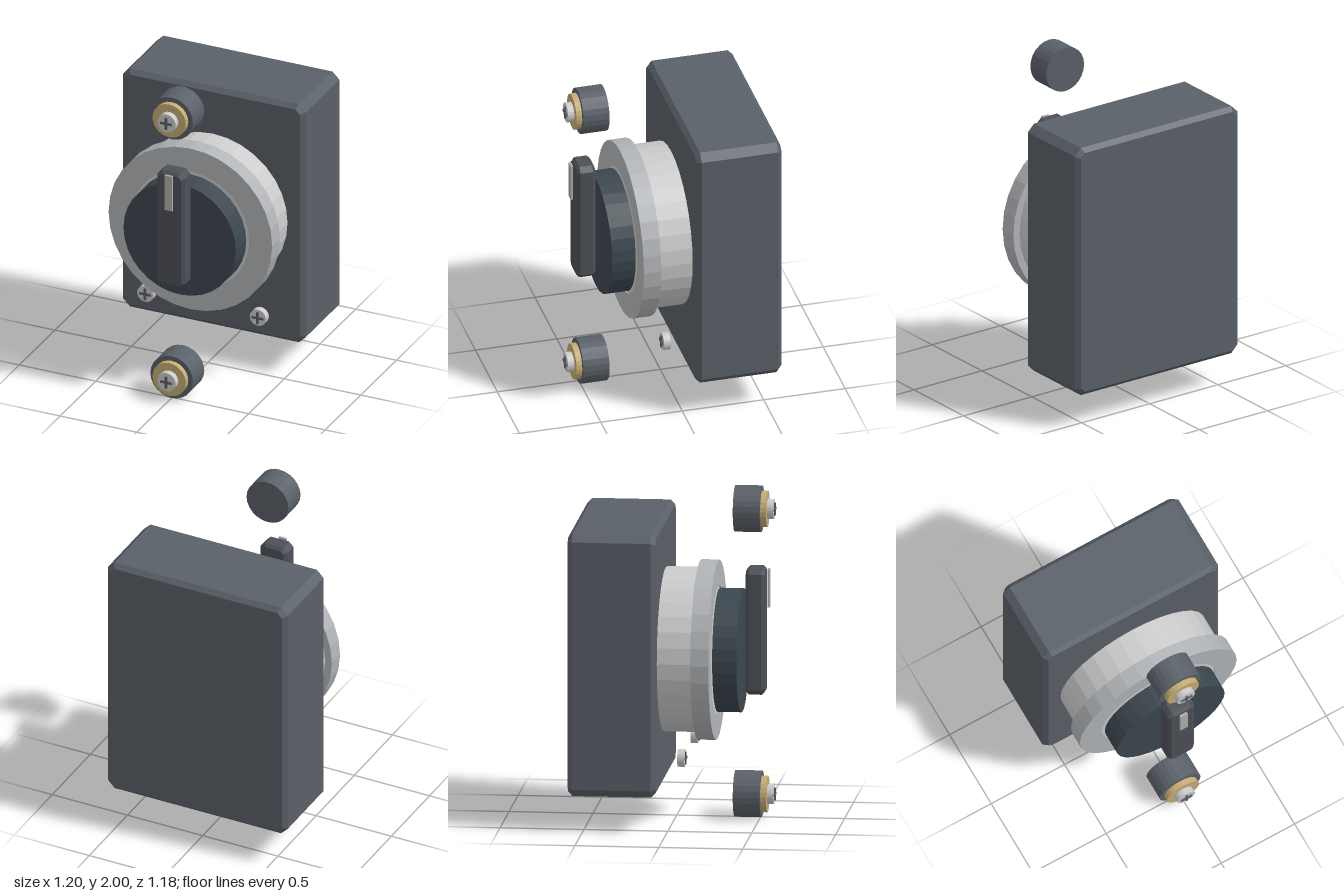
import * as THREE from 'three';

const material = (color) => new THREE.MeshStandardMaterial({ color, flatShading: true });
const BODY = material(0x5a6068), COLLAR = material(0xdcdcdc), BEZEL = material(0xb2b5b8);
const KNOB = material(0x3c474f), HANDLE = material(0x4c5057), BRASS = material(0xc6ad74);
const STEEL = material(0xcccccc), SLOT = material(0x5a5c60), MARK = material(0xb0b0ae);
const CENTRE_Y = 1.005;

function add(parent, name, geometry, mat, x = 0, y = 0, z = 0) {
  const mesh = new THREE.Mesh(geometry, mat);
  mesh.name = name;
  mesh.position.set(x, y, z);
  parent.add(mesh);
  return mesh;
}

// Cylinder along z, from z0 to z1
function disc(radius, z0, z1, sides) {
  return new THREE.CylinderGeometry(radius, radius, z1 - z0, sides)
    .rotateX(Math.PI / 2).translate(0, 0, (z0 + z1) / 2);
}

// Box from z0 to z1 with cut corners and chamfered front and back edges
function chamferedBox(w, h, z0, z1, corner, bevel) {
  const a = w / 2, b = h / 2, c = corner;
  const shape = new THREE.Shape([
    [a, -b + c], [a, b - c], [a - c, b], [-a + c, b],
    [-a, b - c], [-a, -b + c], [-a + c, -b], [a - c, -b],
  ].map(([x, y]) => new THREE.Vector2(x, y)));
  return new THREE.ExtrudeGeometry(shape, {
    depth: z1 - z0 - 2 * bevel, bevelEnabled: true, bevelSegments: 1,
    bevelSize: bevel, bevelThickness: bevel, bevelOffset: -bevel,
  }).translate(0, 0, z0 + bevel);
}

// Screw head with a raised dark cross
function screw(name, radius, z0, z1, x, y) {
  const group = new THREE.Group();
  group.name = name;
  group.position.set(x, y, 0);
  add(group, 'screwHead', disc(radius, z0, z1, 24), STEEL);
  add(group, 'crossBar', new THREE.BoxGeometry(0.076, 0.014, 0.01), SLOT, 0, 0, z1 + 0.004);
  add(group, 'crossPost', new THREE.BoxGeometry(0.014, 0.076, 0.01), SLOT, 0, 0, z1 + 0.004);
  return group;
}

export function createModel() {
  const model = new THREE.Group();
  model.name = 'rotarySwitch';

  // Housing
  add(model, 'housing', chamferedBox(1.196, 1.585, -0.59, -0.067, 0.045, 0.027), BODY, 0, CENTRE_Y);

  // Collar and the wider bezel ring around it
  add(model, 'collar', disc(0.49, -0.067, 0.137, 32), COLLAR, 0, CENTRE_Y);
  add(model, 'collarNeck', disc(0.385, 0.137, 0.237, 32), COLLAR, 0, CENTRE_Y);
  const profile = [[0.385, 0.137], [0.535, 0.137], [0.535, 0.245], [0.385, 0.245], [0.385, 0.137]]
    .map(([r, z]) => new THREE.Vector2(r, z));
  add(model, 'bezel', new THREE.LatheGeometry(profile, 32).rotateX(Math.PI / 2), BEZEL, 0, CENTRE_Y);

  // Knob, grip and pointer mark
  add(model, 'knob', disc(0.368, 0.25, 0.394, 32), KNOB, 0, CENTRE_Y);
  add(model, 'handle', chamferedBox(0.18, 0.76, 0.418, 0.531, 0.03, 0.018), HANDLE, 0, 1.13);
  add(model, 'pointerMark', new THREE.BoxGeometry(0.05, 0.23, 0.014), MARK, 0, 1.385, 0.549);

  // Upper and lower mounting bosses
  for (const [name, y] of [['upperBoss', 1.862], ['lowerBoss', 0.14]]) {
    const boss = new THREE.Group();
    boss.name = name;
    boss.position.y = y;
    add(boss, 'sleeve', disc(0.139, 0.348, 0.508, 24), BODY);
    add(boss, 'washer', disc(0.109, 0.508, 0.543, 24), BRASS);
    boss.add(screw('bossScrew', 0.06, 0.543, 0.581, 0, 0));
    model.add(boss);
  }

  // Cover screws
  for (const side of [-1, 1]) {
    model.add(screw(side > 0 ? 'leftCoverScrew' : 'rightCoverScrew', 0.053, 0.047, 0.089, side * 0.368, 0.42));
  }
  return model;
}
